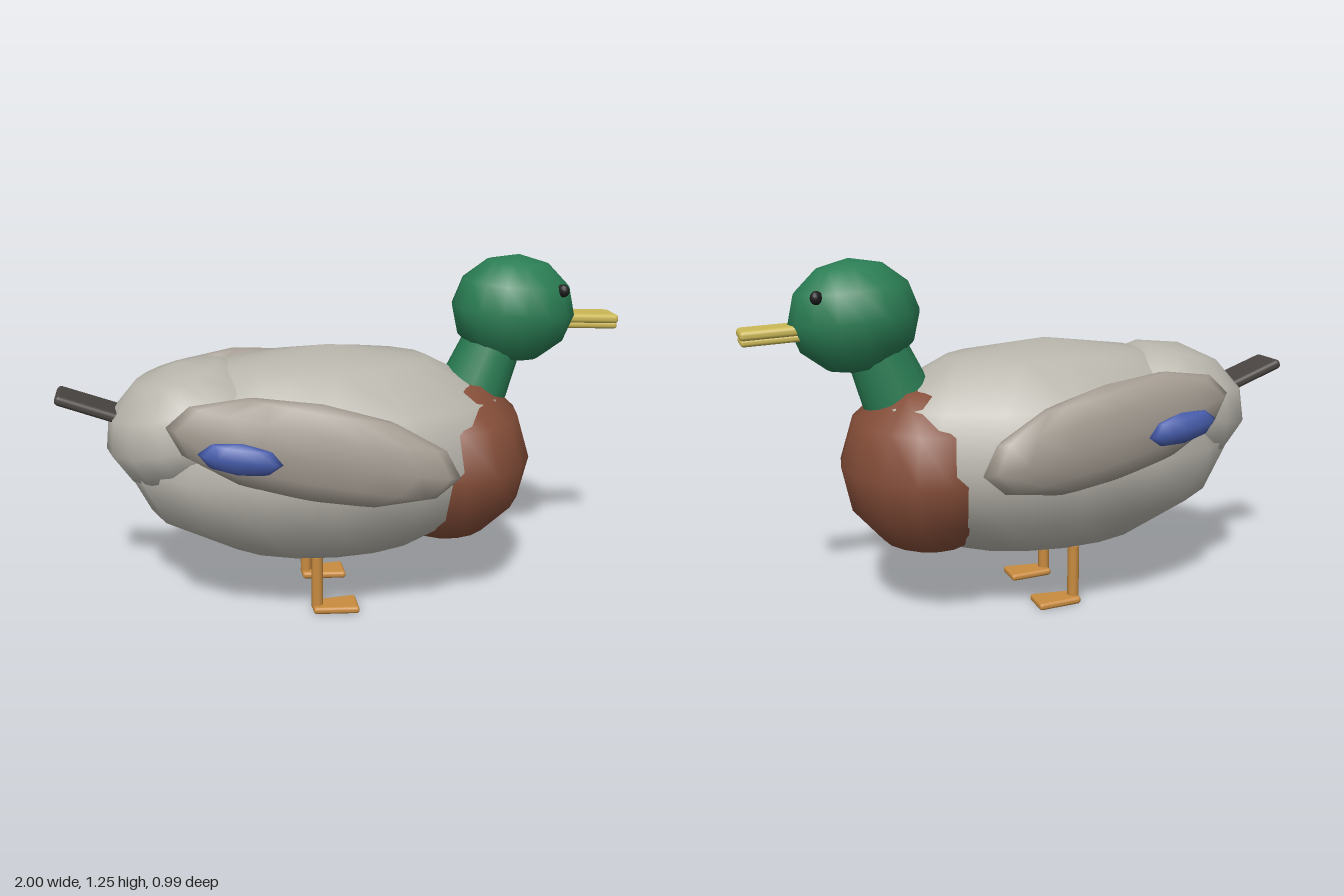
import * as THREE from 'three';
import { RoundedBoxGeometry } from 'three/addons/geometries/RoundedBoxGeometry.js';

const mat = (color) => new THREE.MeshStandardMaterial({ color });
const M = {
  body: mat(0xb8b5ac), wing: mat(0xa39b91), breast: mat(0x844d38), green: mat(0x2a7d54),
  bill: mat(0xcbb857), leg: mat(0xc98c40), tail: mat(0x4a4542), blue: mat(0x465cab), eye: mat(0x1c1c1c),
};

export function createModel() {
  const duck = new THREE.Group();
  duck.name = 'duck';

  function add(name, geometry, material, pos, rot = [0, 0, 0], parent = duck) {
    const mesh = new THREE.Mesh(geometry, material);
    mesh.name = name;
    mesh.position.set(...pos);
    mesh.rotation.set(...rot);
    parent.add(mesh);
    return mesh;
  }
  // Low-poly ellipsoid with smooth normals
  const egg = (rx, ry, rz, w = 16, h = 6) => new THREE.SphereGeometry(1, w, h).scale(rx, ry, rz);
  // Rounded slab whose width shrinks towards one end (taper at the -x end)
  function slab(lx, ly, lz, taper = 1) {
    const unit = ly / 0.3;
    const g = new RoundedBoxGeometry(lx / unit, 0.3, lz / unit, 3, 0.13).scale(unit, unit, unit);
    const p = g.attributes.position;
    for (let i = 0; i < p.count; i++) {
      const t = p.getX(i) / lx + 0.5;
      p.setZ(i, p.getZ(i) * (taper + (1 - taper) * t));
    }
    return g;
  }

  // Trunk
  add('body', egg(0.73, 0.388, 0.42), M.body, [-0.06, 0.567, 0]);
  add('breast', egg(0.305, 0.315, 0.345), M.breast, [0.378, 0.53, 0], [0, 0, 0.04]);
  add('rump', egg(0.31, 0.225, 0.31), M.body, [-0.535, 0.69, 0], [0, 0, 0.25]);
  add('tail', slab(0.3, 0.036, 0.16, 0.95), M.tail, [-0.855, 0.762, 0], [0, 0, -0.36]);

  // Neck and head
  add('neck', new THREE.CylinderGeometry(0.1, 0.122, 0.23, 16), M.green, [0.527, 0.893, 0], [0, 0, -0.38]);
  add('head', egg(0.224, 0.195, 0.18), M.green, [0.617, 1.06, 0], [0, 0, -0.08]);
  add('upperBill', slab(0.26, 0.034, 0.116), M.bill, [0.871, 1.024, 0], [0, 0, -0.05]);
  add('lowerBill', slab(0.26, 0.026, 0.106), M.bill, [0.868, 1.001, 0], [0, 0, -0.05]);

  // Mirrored parts
  for (const s of [1, -1]) {
    const side = s > 0 ? 'right' : 'left';
    add(side + 'Eye', egg(0.023, 0.023, 0.018, 10, 8), M.eye, [0.76, 1.14, s * 0.115], [0, -s * 0.6, 0]);
    add(side + 'Wing', egg(0.488, 0.168, 0.08), M.wing, [-0.157, 0.685, s * 0.385], [0, -s * 0.16, -0.18]);
    add(side + 'WingPatch', egg(0.138, 0.054, 0.034, 12, 4), M.blue, [-0.4, 0.69, s * 0.426], [0, -s * 0.16, -0.14]);

    const leg = new THREE.Group();
    leg.name = side + 'Leg';
    leg.position.set(-0.118, 0, s * 0.152);
    duck.add(leg);
    add('shank', new THREE.CylinderGeometry(0.021, 0.021, 0.2, 10), M.leg, [0, 0.115, 0], [0, 0, 0], leg);
    add('foot', slab(0.165, 0.026, 0.116, 0.65), M.leg, [0.065, 0.015, 0], [0, 0, 0], leg);
  }
  return duck;
}
